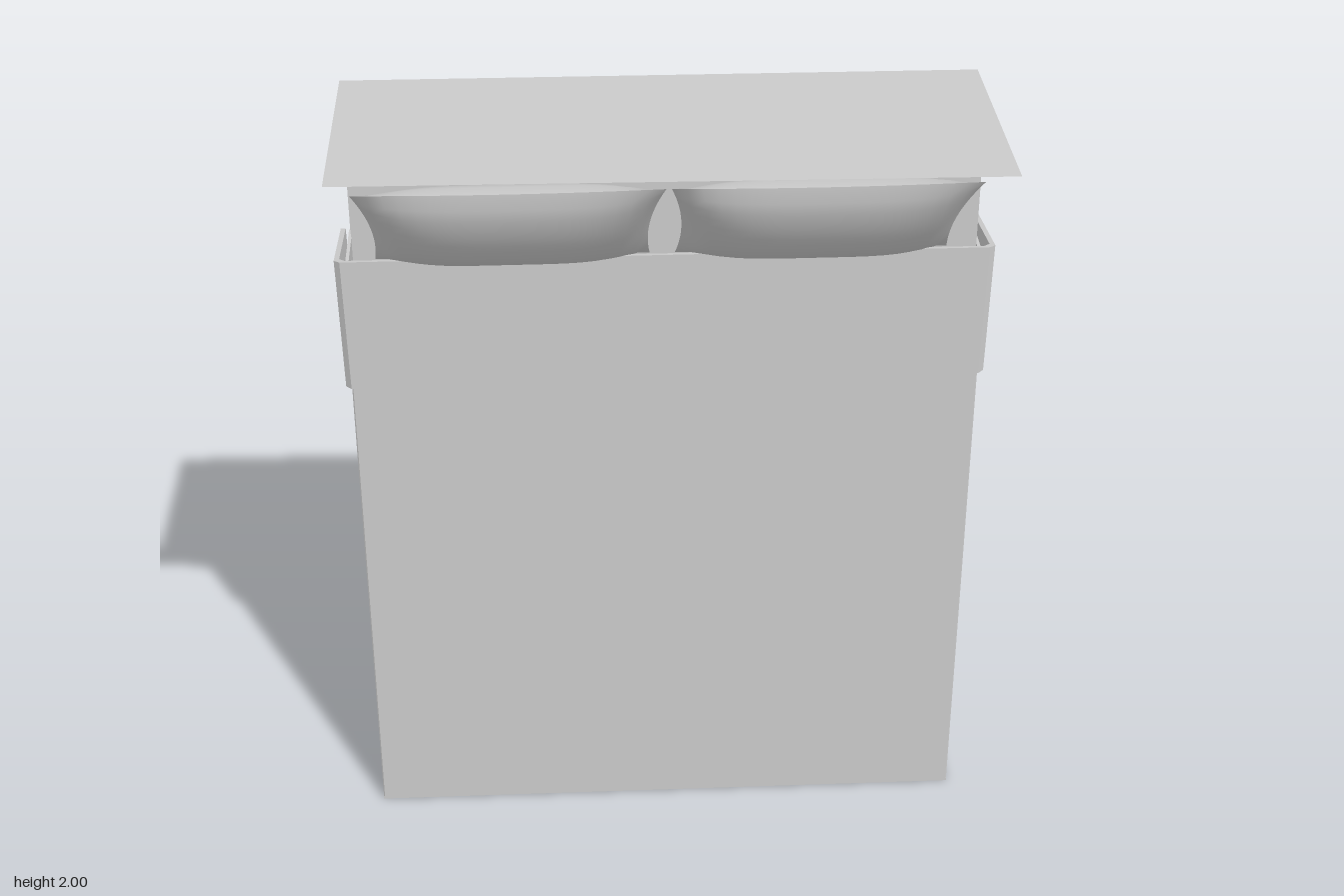
import * as THREE from 'three';
import { mergeGeometries } from 'three/addons/utils/BufferGeometryUtils.js';

const grey = new THREE.MeshStandardMaterial({ color: 0xcccccc, side: THREE.DoubleSide });

export function createModel() {
  const bed = new THREE.Group();
  const add = (name, geometry) => {
    const mesh = new THREE.Mesh(geometry, grey);
    mesh.name = name;
    bed.add(mesh);
    return mesh;
  };
  const box = (name, x0, x1, y0, y1, z0, z1) =>
    add(name, new THREE.BoxGeometry(x1 - x0, y1 - y0, z1 - z0)
      .translate((x0 + x1) / 2, (y0 + y1) / 2, (z0 + z1) / 2));

  // U-shaped cloth draped over the mattress front and both sides
  const drape = (half, y0, y1, front, back, thick, chamfer) => {
    const outline = (h, f, c) => [[-h, -back], [-h, -f + c], [-h + c, -f], [h - c, -f], [h, -f + c], [h, -back]];
    const points = [...outline(half, front, chamfer),
      ...outline(half - thick, front - thick, chamfer).reverse()];
    const shape = new THREE.Shape(points.map(([x, y]) => new THREE.Vector2(x, y)));
    return new THREE.ExtrudeGeometry(shape, { depth: y1 - y0, bevelEnabled: false })
      .rotateX(-Math.PI / 2).translate(0, y0, 0);
  };

  // Base and mattress
  box('bedBase', -0.76, 0.76, 0.025, 1.97, -0.305, -0.24);
  box('mattress', -0.74, 0.74, 0.03, 1.945, -0.24, -0.025);

  // Blanket with its closed foot end
  add('blanket', drape(0.765, 0.01, 1.6, -0.02, -0.265, 0.008, 0.003));
  box('blanketFoot', -0.765, 0.765, 0.005, 0.012, -0.265, -0.02);

  // Folded-over sheet, its upper edge sloping down along the sides
  const fold = drape(0.785, 1.3, 1.645, -0.005, -0.265, 0.012, 0.014);
  const fp = fold.attributes.position;
  for (let i = 0; i < fp.count; i++) {
    if (fp.getY(i) > 1.5) fp.setY(i, 1.645 + 0.16 * (fp.getZ(i) + 0.005));
    else fp.setX(i, fp.getX(i) * 0.992);
  }
  fold.computeVertexNormals();
  add('foldedSheet', fold);

  // Thin headboard sheet, slightly warped
  const board = new THREE.PlaneGeometry(1.53, 0.627).rotateX(-Math.PI / 2).translate(0, 0, 0.0085);
  const bp = board.attributes.position;
  for (let i = 0; i < bp.count; i++) {
    const left = bp.getX(i) < 0;
    bp.setY(i, bp.getZ(i) > 0 ? (left ? 2 : 1.988) : (left ? 1.975 : 1.97));
  }
  board.computeVertexNormals();
  add('headboard', board);

  // Pillows: two bulged faces meeting in a pinched seam
  const pillowFace = (side) => {
    const g = new THREE.PlaneGeometry(2, 2, 20, 14);
    if (side < 0) g.rotateY(Math.PI);
    const p = g.attributes.position;
    for (let i = 0; i < p.count; i++) {
      const u = p.getX(i), v = p.getY(i);
      const bulge = Math.pow(Math.max(0, (1 - u ** 4) * (1 - v * v)), 0.75);
      const width = 0.335 + 0.012 * v - 0.018 * (1 - v * v);
      const height = 0.222 - 0.012 * (1 - u * u);
      p.setXYZ(i, u * width, v * height, side * 0.075 * bulge);
    }
    g.computeVertexNormals();
    return g;
  };
  const pillow = mergeGeometries([pillowFace(1), pillowFace(-1)]);
  for (const [name, x] of [['rightPillow', -0.363], ['leftPillow', 0.343]]) {
    const mesh = add(name, pillow);
    mesh.position.set(x, 1.808, 0.145);
    mesh.rotation.x = 0.777;
  }

  // Small feet on the underside
  for (const s of [-1, 1]) {
    box('headFoot', s * 0.715 - 0.02, s * 0.715 + 0.02, 1.88, 1.925, -0.308, -0.3);
    box('endFoot', s * 0.72 - 0.007, s * 0.72 + 0.007, 0.135, 0.15, -0.317, -0.3);
  }
  return bed;
}
